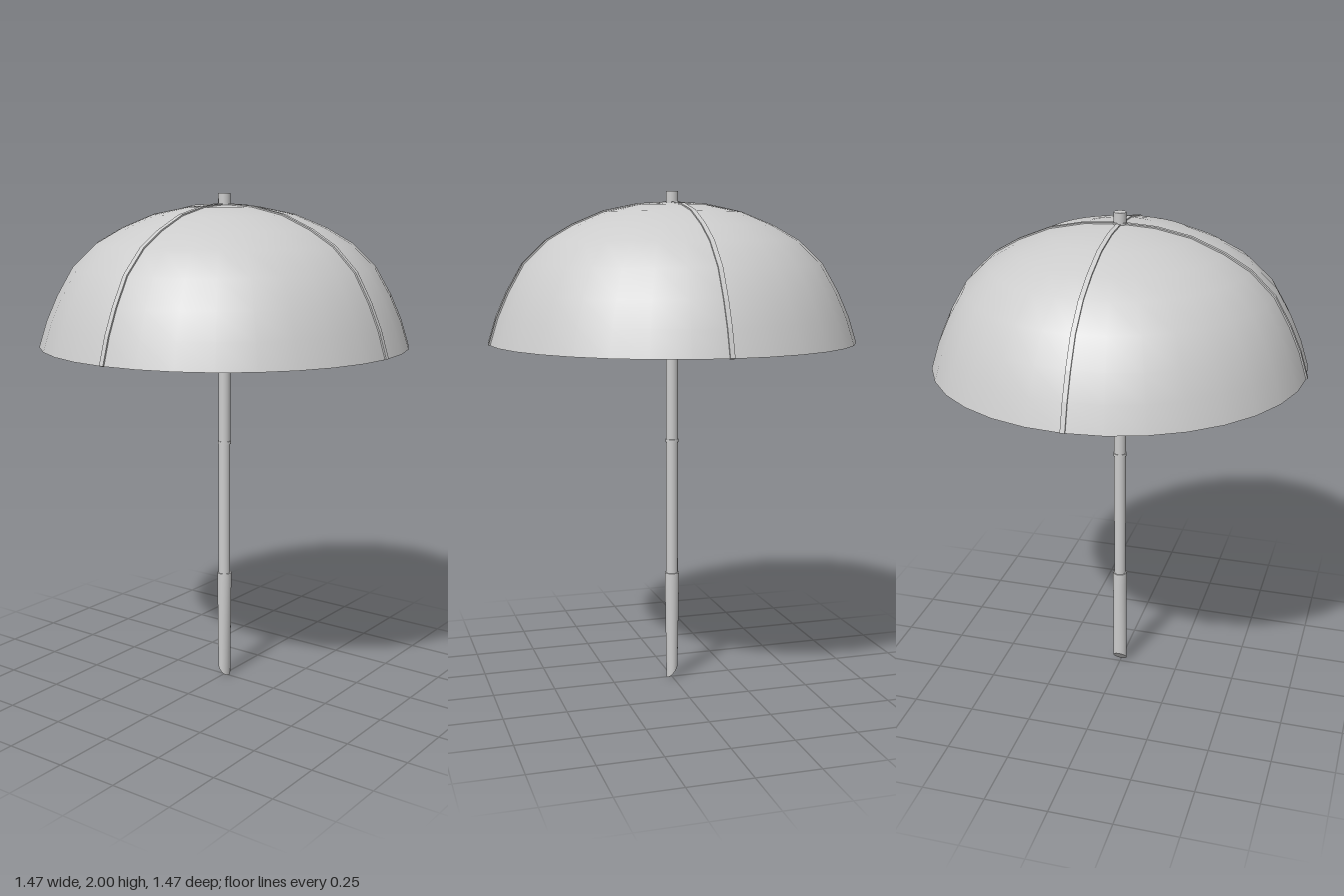
import * as THREE from 'three';

const grey = new THREE.MeshStandardMaterial({ color: 0xcccccc });
const greyThin = new THREE.MeshStandardMaterial({ color: 0xcccccc, side: THREE.DoubleSide });

// Dome profile from the rim up to the crown: [radius, height]
const DOME = [
  [0.73, 1.413], [0.698, 1.515], [0.655, 1.612], [0.593, 1.72], [0.5, 1.81],
  [0.4, 1.868], [0.275, 1.92], [0.138, 1.948], [0, 1.956],
].map(([r, y]) => new THREE.Vector2(r, y));

function addMesh(parent, name, geometry, material = grey) {
  const mesh = new THREE.Mesh(geometry, material);
  mesh.name = name;
  parent.add(mesh);
  return mesh;
}

function rod(radius, bottom, top, sides = 24) {
  return new THREE.CylinderGeometry(radius, radius, top - bottom, sides)
    .translate(0, (top + bottom) / 2, 0);
}

// Arched strip that follows the dome from rim to rim and shows on both faces
function ribGeometry(width, outside, inside) {
  const mirrored = DOME.slice(0, -1).reverse().map((p) => new THREE.Vector2(-p.x, p.y));
  const arch = [...DOME, ...mirrored];
  const offset = (distance) => arch.map((p, i) => {
    const before = arch[Math.max(i - 1, 0)];
    const after = arch[Math.min(i + 1, arch.length - 1)];
    const t = after.clone().sub(before).normalize();
    return new THREE.Vector2(p.x + t.y * distance, p.y - t.x * distance);
  });
  const shape = new THREE.Shape([...offset(outside), ...offset(-inside).reverse()]);
  return new THREE.ExtrudeGeometry(shape, { depth: width, bevelEnabled: false })
    .translate(0, 0, -width / 2);
}

// Grip that narrows downward and ends in a slanted cut, lowest at +x
function gripGeometry() {
  const geometry = new THREE.CylinderGeometry(0.029, 0.029, 0.455, 24, 8);
  geometry.translate(0, 0.2275, 0);
  const pos = geometry.attributes.position;
  for (let i = 0; i < pos.count; i++) {
    const y = pos.getY(i);
    const x = pos.getX(i) * (1 - 0.22 * THREE.MathUtils.clamp((0.4 - y) / 0.4, 0, 1));
    const cut = 0.028 - x * 1.15;
    pos.setXY(i, x, cut + (y / 0.455) * (0.455 - cut));
  }
  geometry.computeVertexNormals();
  return geometry;
}

export function createModel() {
  const model = new THREE.Group();
  model.name = 'umbrella';

  // Open canopy
  addMesh(model, 'canopy', new THREE.LatheGeometry(DOME, 32), greyThin);

  // Two crossing arches make the four ribs
  const ribs = new THREE.Group();
  ribs.name = 'ribs';
  model.add(ribs);
  const rib = ribGeometry(0.018, 0.005, 0.01);
  for (let i = 0; i < 2; i++) {
    addMesh(ribs, 'ribArch', rib).rotation.y = i * Math.PI / 2;
  }

  // Pole with its tip, joint ring and grip
  addMesh(model, 'pole', rod(0.024, 0.4, 2));
  addMesh(model, 'crownCollar', rod(0.027, 1.945, 1.962));
  addMesh(model, 'jointRing', rod(0.027, 1.003, 1.015));
  addMesh(model, 'grip', gripGeometry());

  return model;
}
